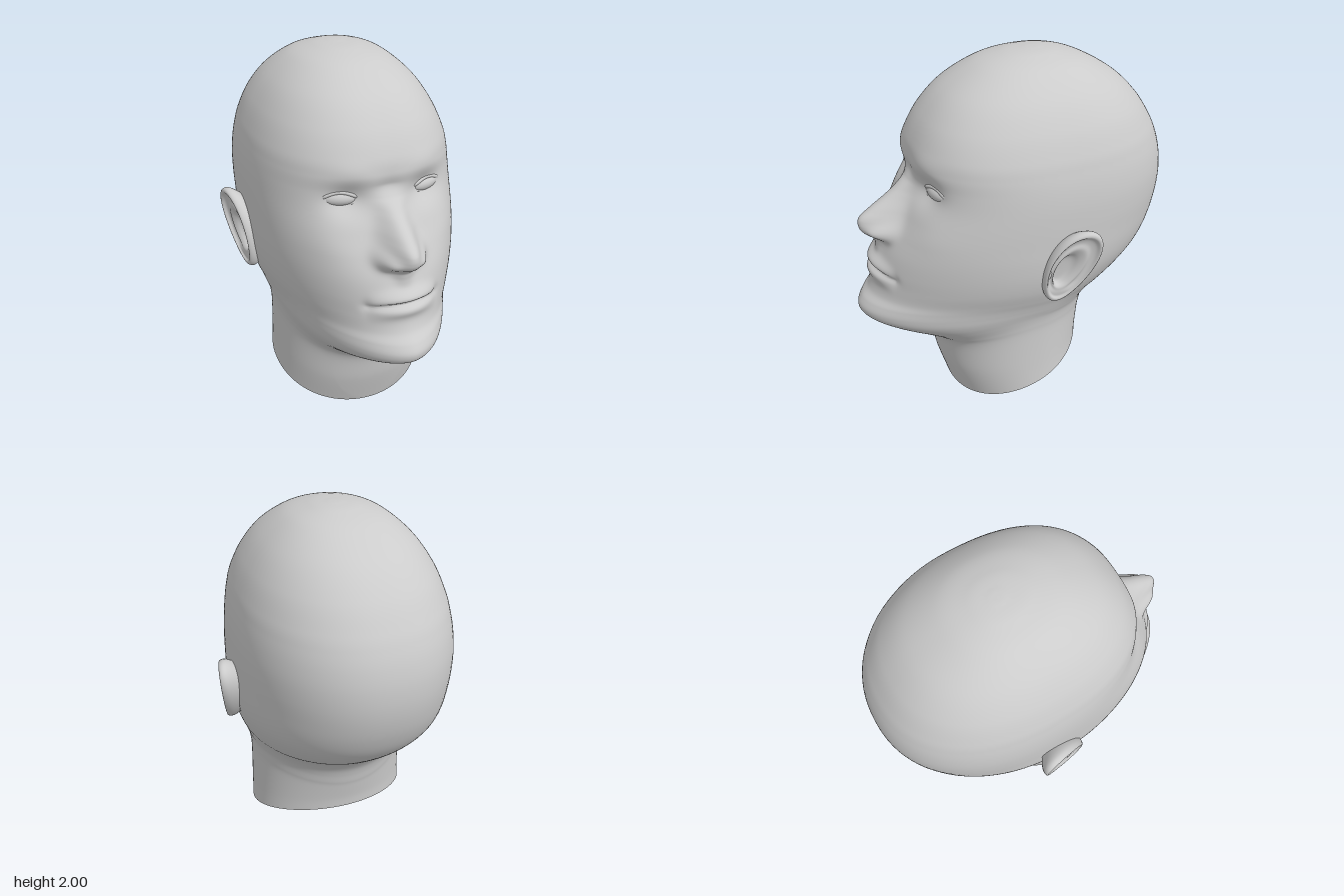
import * as THREE from 'three';

const skin = new THREE.MeshStandardMaterial({ color: 0xcccccc, side: THREE.DoubleSide });

// Horizontal rings from neck to crown:
// [height, front z, back z, half width, z of widest point, roundness of the front]
const rings = [
  [0, .385, -.41, .455, -.02, 2.1],
  [.2, .44, -.415, .447, -.02, 2.1],
  [.38, .475, -.43, .441, -.02, 2.05],
  [.45, .545, -.44, .445, -.02, 2],
  [.52, .67, -.45, .453, -.02, 1.93],
  [.58, .79, -.465, .462, -.03, 1.85],
  [.63, .865, -.49, .47, -.03, 1.78],
  [.68, .885, -.525, .479, -.035, 1.75],
  [.73, .862, -.575, .491, -.04, 1.76],
  [.78, .818, -.64, .508, -.05, 1.81],
  [.86, .79, -.722, .533, -.06, 1.87],
  [.95, .77, -.79, .55, -.08, 1.94],
  [1.05, .735, -.837, .557, -.1, 2.06],
  [1.15, .68, -.866, .557, -.12, 2.22],
  [1.25, .62, -.88, .557, -.14, 2.34],
  [1.35, .575, -.879, .554, -.15, 2.38],
  [1.44, .552, -.864, .545, -.15, 2.4],
  [1.52, .545, -.838, .53, -.15, 2.42],
  [1.6, .525, -.799, .508, -.15, 2.42],
  [1.72, .457, -.718, .455, -.15, 2.38],
  [1.84, .345, -.593, .37, -.14, 2.3],
  [1.94, .18, -.42, .25, -.14, 2.2],
  [1.985, .03, -.28, .13, -.14, 2.1],
  [1.998, -.09, -.19, .045, -.14, 2],
  [2, -.1398, -.1402, .0002, -.14, 2],
];

// Nose: [height, projection, half width]
const noseRows = [
  [1, 0, .04], [1.05, .02, .045], [1.085, .04, .06], [1.11, .08, .075], [1.135, .128, .082], [1.16, .157, .084],
  [1.185, .177, .084], [1.21, .189, .082], [1.23, .184, .08], [1.27, .145, .076], [1.31, .1, .07], [1.35, .06, .066],
  [1.4, .018, .066], [1.46, 0, .066],
];

const bell = (v, centre, size) => Math.exp(-(((v - centre) / size) ** 2));

// Nose shape at a height, blended between its rows
function noseAt(y) {
  const i = noseRows.findIndex((r) => r[0] > y);
  if (i < 1) return [0, 1];
  const [a, b] = [noseRows[i - 1], noseRows[i]];
  const f = (y - a[0]) / (b[0] - a[0]);
  return [1, 2].map((k) => THREE.MathUtils.lerp(a[k], b[k], f));
}

// Forward displacement that models the facial features
function face(x, y) {
  const ax = Math.abs(x);
  let d = 0;
  // nose ridge, tip and wings
  const [projection, width] = noseAt(y);
  d += projection * Math.exp(-((ax / width) ** 2.3));
  d += .058 * bell(ax, .092, .042) * bell(y, 1.15, .045);
  // dip at the root of the nose
  d -= .018 * bell(ax, 0, .08) * bell(y, 1.44, .05);
  // eye sockets, arched brows and cheeks
  d -= .045 * bell(ax, .2, .1) * bell(y, 1.395, .07);
  d += .008 * bell(ax, .19, .12) * bell(y, 1.53 - 1.2 * (ax - .2) ** 2, .05);
  d += .01 * bell(ax, .33, .1) * bell(y, 1.22, .1);
  // lips and the line between them
  const span = Math.max(0, 1 - (x / .19) ** 2);
  const line = .93 - .02 * (x / .18) ** 2;
  d += .034 * span * bell(y, line + .034, .034);
  d += .028 * span * bell(y, line - .034, .038);
  d -= .024 * Math.sqrt(span) * bell(y, line, .014);
  d -= .01 * bell(ax, .19, .025) * bell(y, .915, .03);
  return d;
}

// Surface from closed loops of points
function loopSurface(rows, cols, point) {
  const pos = [], index = [];
  for (let i = 0; i <= rows; i++) for (let j = 0; j < cols; j++) pos.push(...point(i / rows, j / cols));
  for (let i = 0; i < rows; i++) for (let j = 0; j < cols; j++) {
    const a = i * cols + j, b = i * cols + (j + 1) % cols;
    index.push(a, b, a + cols, b, b + cols, a + cols);
  }
  const g = new THREE.BufferGeometry();
  g.setAttribute('position', new THREE.Float32BufferAttribute(pos, 3));
  g.setIndex(index);
  g.computeVertexNormals();
  return g;
}

const curve = (pts) => new THREE.CatmullRomCurve3(pts.map((p) => new THREE.Vector3(...p)), false, 'catmullrom');

function headGeometry() {
  const profile = curve(rings.map((r) => [r[1], r[0], r[2]]));
  const section = curve(rings.map((r) => [r[3], r[4], r[5]]));
  return loopSurface((rings.length - 1) * 11, 200, (t, u) => {
    const { x: front, y: level, z: back } = profile.getPoint(t);
    const { x: w, y: zc, z: power } = section.getPoint(t);
    // columns are packed closer together across the face
    const a = u * Math.PI * 2 - .6 * Math.sin(u * Math.PI * 2);
    const s = Math.sin(a), c = Math.cos(a);
    const depth = c > 0 ? front - zc : zc - back;
    // the back of the skull is fuller than the neck
    const p = c > 0 ? power : 1.95 + .25 * THREE.MathUtils.smoothstep(level, .65, 1.05);
    const r = (Math.abs(s / w) ** p + Math.abs(c / depth) ** p) ** (-1 / p);
    let x = r * s, y = level, z = zc + r * c;
    if (c > 0) z += face(x, y);
    // hollow under each ear
    if (Math.abs(x) > .3) x -= Math.sign(x) * .04 * bell(y, 1.0, .08) * bell(z, -.08, .05);
    // slanted cut of the neck, higher at the back
    if (level < .75) y += .3 * THREE.MathUtils.clamp((.385 - z) / .795, 0, 1) ** .9 * (1 - level / .75) ** 2;
    // jaw line rising towards the ears
    y += .1 * s * s * bell(level, .47, .18);
    return [x, y, z];
  });
}

// Ear: loops run from the hidden root, round the rim and into the bowl
function earGeometry(side) {
  const path = curve([
    [.62, -.11, 0], [.84, -.065, 0], [.97, -.032, 0], [1.02, -.006, 0], [.99, .016, 0], [.91, .022, 0], [.82, .006, 0],
    [.7, .0, .1], [.58, .006, .25], [.46, -.006, .5], [.34, -.028, .8], [.01, -.032, 1],
  ]);
  return loopSurface(44, 48, (t, k) => {
    const { x: r, y: n, z: shift } = path.getPoint(t);
    const a = k * Math.PI * 2;
    const v = r * Math.sin(a) - .15 * shift;
    const u = r * Math.cos(a) * (1 + .2 * v) - .25 * shift;
    // the lobe is fuller and flatter than the upper ear
    const lobe = THREE.MathUtils.smoothstep(-v, .45, .75);
    const out = n < .012 && t > .4 ? THREE.MathUtils.lerp(n, .012, lobe) : n;
    return [side * (.59 + .03 * v + .027 * u + out), 1.03 + .205 * v, -.098 - .122 * u - .07 * v];
  });
}

function makeEye(side) {
  const eye = new THREE.Group();
  eye.name = side > 0 ? 'leftEye' : 'rightEye';
  const ball = new THREE.Mesh(new THREE.SphereGeometry(1, 32, 20), skin);
  ball.name = 'eyeball';
  ball.scale.set(.105, .048, .062);
  eye.add(ball);
  // lids follow the almond opening over the eyeball
  for (const [name, sign, radius] of [['upperLid', 1, .01], ['lowerLid', -1, .007]]) {
    const pts = [];
    for (let i = 0; i <= 8; i++) {
      const e = i / 4 - 1;
      const x = .098 * e, y = sign * .036 * (1 - e * e);
      pts.push([x, y, .062 * Math.sqrt(Math.max(0, 1 - (x / .105) ** 2 - (y / .048) ** 2))]);
    }
    const lid = new THREE.Mesh(new THREE.TubeGeometry(curve(pts), 24, radius, 8), skin);
    lid.name = name;
    eye.add(lid);
  }
  eye.position.set(side * .222, 1.4, .442);
  eye.rotation.y = side * .3;
  return eye;
}

export function createModel() {
  const model = new THREE.Group();
  model.name = 'humanHead';
  const head = new THREE.Mesh(headGeometry(), skin);
  head.name = 'headAndNeck';
  model.add(head);
  for (const side of [1, -1]) {
    const ear = new THREE.Mesh(earGeometry(side), skin);
    ear.name = side > 0 ? 'leftEar' : 'rightEar';
    // small flap in front of the ear canal
    const flap = new THREE.Mesh(new THREE.SphereGeometry(1, 16, 12), skin);
    flap.name = 'earFlap';
    flap.scale.set(.016, .035, .018);
    flap.position.set(side * .56, 1.0, .01);
    model.add(ear, flap, makeEye(side));
  }
  return model;
}
